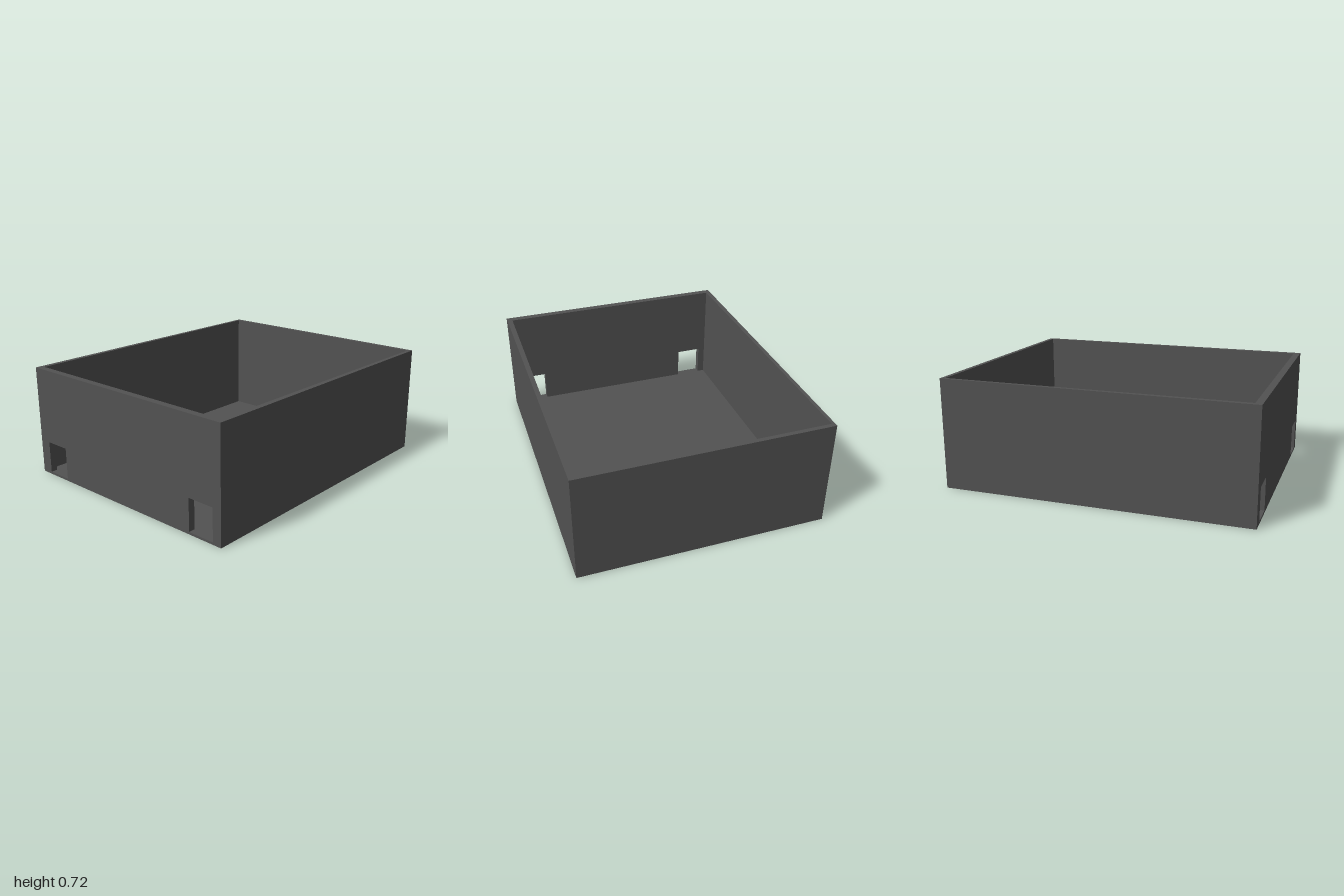
import * as THREE from 'three';

const W = 0.8, D = 1, H = 0.72;   // half width, half depth, height
const FLOOR = 0.015;              // floor thickness
const FRONT_IN = 0.956;           // inner face of the front wall
const BACK_IN = -0.972;           // inner face of the back wall

const shapeFrom = (pts) => new THREE.Shape(pts.map(([x, y]) => new THREE.Vector2(x, y)));

export function createModel() {
  const group = new THREE.Group();
  group.name = 'openBox';
  const darkGrey = new THREE.MeshStandardMaterial({ color: 0x525252 });
  darkGrey.name = 'darkGrey';

  const add = (name, geometry) => {
    const mesh = new THREE.Mesh(geometry, darkGrey);
    mesh.name = name;
    group.add(mesh);
    return mesh;
  };

  // Floor plate
  add('floor', new THREE.BoxGeometry(2 * W, FLOOR, 2 * D)).position.y = FLOOR / 2;

  // Side and back walls: one U-shaped plan, slightly thicker toward the front
  const plan = shapeFrom([
    [-W, -FRONT_IN], [-0.768, -FRONT_IN], [-0.779, -BACK_IN], [0.775, -BACK_IN],
    [0.764, -FRONT_IN], [W, -FRONT_IN], [W, D], [-W, D],
  ]);
  const walls = new THREE.ExtrudeGeometry(plan, { depth: H - FLOOR, bevelEnabled: false });
  walls.rotateX(-Math.PI / 2);
  add('sideAndBackWalls', walls).position.y = FLOOR;

  // Front wall with two doorways that open down to the floor
  const outline = [[-W, FLOOR]];
  for (const [x0, x1] of [[-0.72, -0.545], [0.56, 0.74]]) {
    outline.push([x0, FLOOR], [x0, 0.225], [x1, 0.225], [x1, FLOOR]);
  }
  outline.push([W, FLOOR], [W, H], [-W, H]);
  const front = new THREE.ExtrudeGeometry(shapeFrom(outline), { depth: D - FRONT_IN, bevelEnabled: false });
  add('frontWall', front).position.z = FRONT_IN;

  return group;
}
